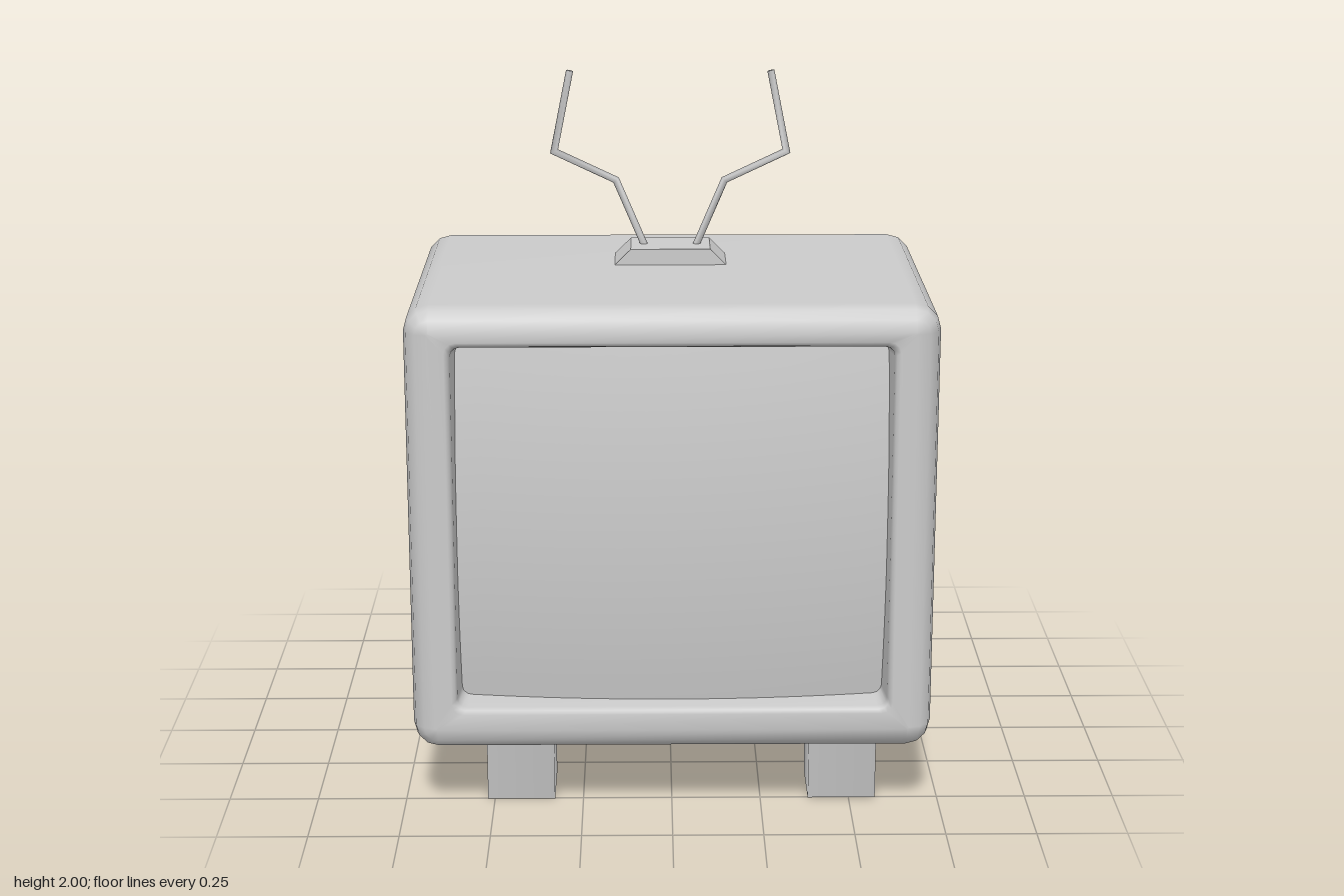
import * as THREE from 'three';

const grey = new THREE.MeshStandardMaterial({ color: 0xcccccc });
const thin = new THREE.MeshStandardMaterial({ color: 0xcccccc, side: THREE.DoubleSide });

// Skins closed rings of equal point count; optional fan caps at both ends
function loft(rings, capStart, capEnd) {
  const n = rings[0].length, pos = [], idx = [];
  rings.forEach(r => r.forEach(p => pos.push(p.x, p.y, p.z)));
  for (let i = 0; i < rings.length - 1; i++) {
    for (let j = 0; j < n; j++) {
      const k = (j + 1) % n;
      const a = i * n + j, b = i * n + k, c = b + n, d = a + n;
      idx.push(a, b, c, a, c, d);
    }
  }
  const cap = (ring, base, flip) => {
    const c = ring.reduce((s, p) => s.add(p), new THREE.Vector3()).divideScalar(n);
    const m = pos.length / 3;
    pos.push(c.x, c.y, c.z);
    for (let j = 0; j < n; j++) {
      const a = base + j, b = base + (j + 1) % n;
      idx.push(m, flip ? b : a, flip ? a : b);
    }
  };
  if (capStart) cap(rings[0], 0, true);
  if (capEnd) cap(rings[rings.length - 1], (rings.length - 1) * n, false);
  const g = new THREE.BufferGeometry();
  g.setAttribute('position', new THREE.Float32BufferAttribute(pos, 3));
  g.setIndex(idx);
  g.computeVertexNormals();
  return g;
}

// Rounded rectangle ring, counter-clockwise seen from +z
function roundRect(w, h, cy, r, z, segs = 3) {
  const pts = [];
  [[1, 1], [-1, 1], [-1, -1], [1, -1]].forEach(([sx, sy], q) => {
    for (let s = 0; s <= segs; s++) {
      const a = (q + s / segs) * Math.PI / 2;
      pts.push(new THREE.Vector3(sx * (w - r) + r * Math.cos(a), cy + sy * (h - r) + r * Math.sin(a), z));
    }
  });
  return pts;
}

// Sharp rectangle ring with support points beside each corner
function supportRect(w, h, cy, z, s) {
  return [
    [w, h - s], [w, h], [w - s, h], [s - w, h], [-w, h], [-w, h - s],
    [-w, s - h], [-w, -h], [s - w, -h], [w - s, -h], [w, -h], [w, s - h],
  ].map(([x, y]) => new THREE.Vector3(x, cy + y, z));
}

function cabinetGeometry() {
  const w = 0.715, h = 0.627, cy = 0.833, r = 0.065, back = -0.345, front = 0.655, rings = [];
  const edge = (t, z) => {
    const inset = r * (1 - Math.sin(t));
    rings.push(roundRect(w - inset, h - inset, cy, r - inset + 0.005, z));
  };
  for (let i = 0; i <= 3; i++) edge(i * Math.PI / 6, back + r * (1 - Math.cos(i * Math.PI / 6)));
  for (let i = 3; i >= 0; i--) edge(i * Math.PI / 6, front - r * (1 - Math.cos(i * Math.PI / 6)));
  // Front rim, softened lip and recess wall
  rings.push(roundRect(0.605, 0.526, 0.843, 0.03, front));
  rings.push(roundRect(0.595, 0.516, 0.843, 0.028, front - 0.007));
  rings.push(roundRect(0.59, 0.51, 0.843, 0.026, front - 0.02));
  rings.push(roundRect(0.578, 0.5, 0.84, 0.024, 0.52));
  return loft(rings, true, false);
}

// Bulging screen, its rim tucked into the recess wall
function screenGeometry() {
  const g = new THREE.PlaneGeometry(1.17, 1.014, 16, 16), p = g.attributes.position;
  for (let i = 0; i < p.count; i++) {
    const u = p.getX(i) / 0.585, v = p.getY(i) / 0.507;
    p.setZ(i, 0.55 + 0.04 * (1 - u * u) + 0.04 * (1 - v * v));
  }
  g.translate(0, 0.84, 0);
  g.computeVertexNormals();
  return g;
}

// Bent rod with mitred joints, lying in a plane of constant z
function rodGeometry(points, z, r, sides = 6) {
  const pts = points.map(([x, y]) => new THREE.Vector2(x, y));
  const dirs = pts.slice(1).map((p, i) => p.clone().sub(pts[i]).normalize());
  const rings = pts.map((p, i) => {
    const d0 = dirs[Math.max(i - 1, 0)], d1 = dirs[Math.min(i, dirs.length - 1)];
    const t = d0.clone().add(d1).normalize();
    const mitre = r / t.dot(d1);
    return Array.from({ length: sides }, (_, k) => {
      const a = k / sides * Math.PI * 2, c = Math.cos(a) * mitre;
      return new THREE.Vector3(p.x - t.y * c, p.y + t.x * c, z + r * Math.sin(a));
    });
  });
  return loft(rings, true, true);
}

export function createModel() {
  const model = new THREE.Group();
  const add = (name, geometry, material = grey) => {
    const mesh = new THREE.Mesh(geometry, material);
    mesh.name = name;
    model.add(mesh);
    return mesh;
  };

  add('cabinet', cabinetGeometry(), thin);
  add('screen', screenGeometry(), thin);

  // Tapered rear housing
  const cy = 0.812;
  add('rearHousing', loft([
    supportRect(0.265, 0.258, cy, -0.655, 0.02),
    supportRect(0.318, 0.312, cy, -0.655, 0.06),
    supportRect(0.334, 0.329, cy, -0.598, 0.06),
    supportRect(0.4, 0.4, cy, -0.37, 0.075),
  ], true, false), thin);

  // Square legs, open at the ends
  const legs = { Left: 0.48, Right: -0.425 };
  for (const [side, x] of Object.entries(legs)) {
    for (const [end, z] of [['front', 0.408], ['back', -0.06]]) {
      const g = new THREE.CylinderGeometry(0.095 * Math.SQRT2, 0.095 * Math.SQRT2, 0.193, 4, 1, true, Math.PI / 4);
      add(end + side + 'Leg', g, thin).position.set(x, 0.0965, z);
    }
  }

  // Antenna foot and its two bent rods
  const foot = new THREE.Shape([[-0.162, 1.455], [0.162, 1.455], [0.112, 1.505], [-0.112, 1.505]]
    .map(([x, y]) => new THREE.Vector2(x, y)));
  add('antennaBase', new THREE.ExtrudeGeometry(foot, { depth: 0.156, bevelEnabled: false }).translate(0, 0, -0.031));
  for (const [name, s] of [['leftAntenna', 1], ['rightAntenna', -1]]) {
    const path = [[0.073, 1.5], [0.153, 1.688], [0.327, 1.77], [0.281, 1.998]];
    add(name, rodGeometry(path.map(([x, y]) => [s * x, y]), 0.047, 0.01));
  }
  return model;
}
